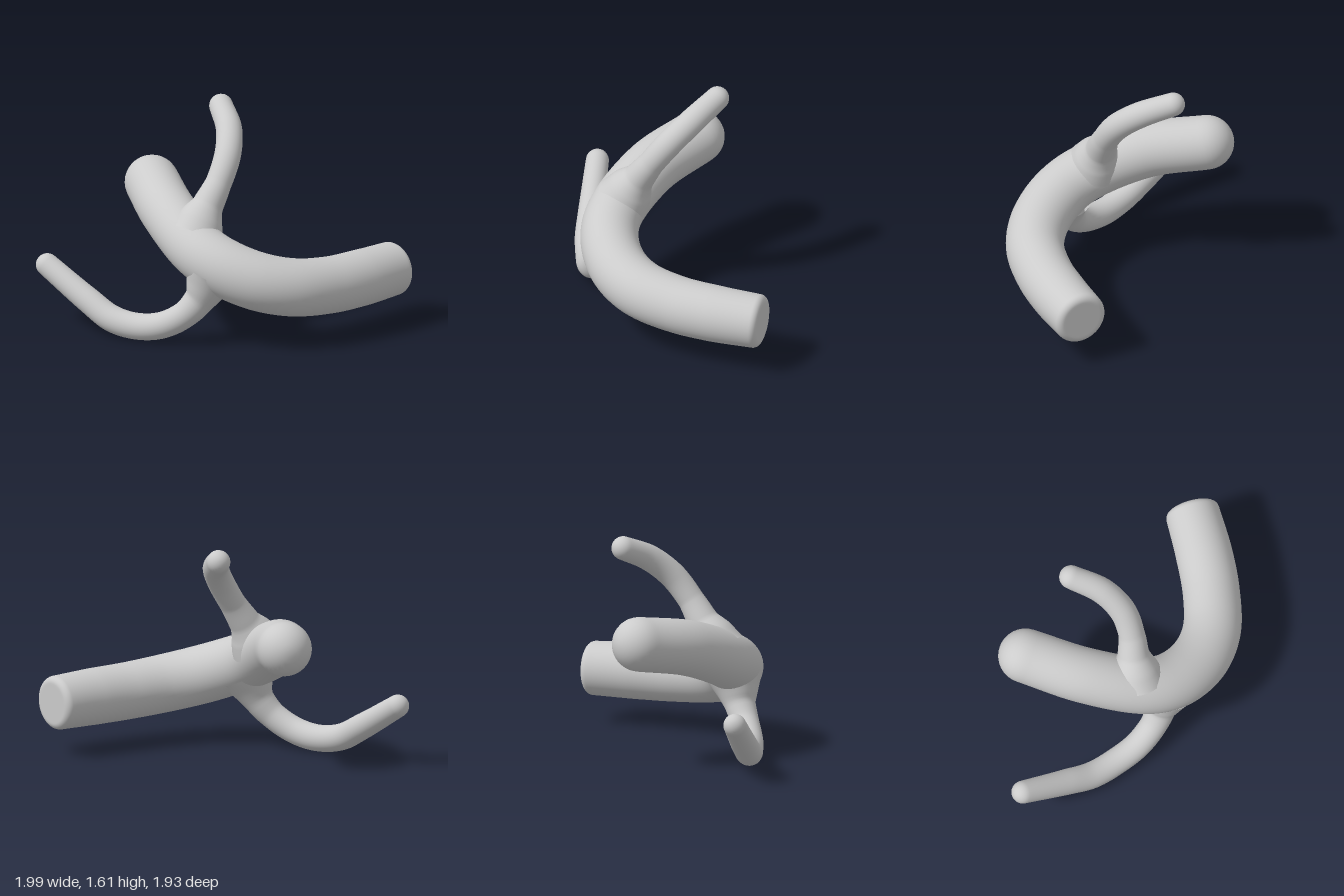
import * as THREE from 'three';
import { mergeVertices } from 'three/addons/utils/BufferGeometryUtils.js';

const material = new THREE.MeshStandardMaterial({ color: 0xcccccc, side: THREE.DoubleSide });

// Sweeps a round section along a spline; each stop is [x, y, z, radius].
// startCap / endCap: depth of the rounded end (0 = open, radius = full dome).
function limb(name, stops, { startCap = 0, endCap = 0, steps = 60, sides = 32 }) {
  const curve = new THREE.CatmullRomCurve3(stops.map(s => new THREE.Vector3(s[0], s[1], s[2])));
  const frames = curve.computeFrenetFrames(steps);
  const last = stops.length - 1;

  const radiusAt = u => {
    const t = curve.getUtoTmapping(u) * last;
    const i = Math.min(Math.floor(t), last - 1);
    return THREE.MathUtils.lerp(stops[i][3], stops[i + 1][3], t - i);
  };

  const rings = [];
  for (let i = 0; i <= steps; i++) {
    rings.push({ centre: curve.getPointAt(i / steps), radius: radiusAt(i / steps), frame: i });
  }

  // Rounded edge rings, then a closing centre
  const cap = (ring, depth, sign) => {
    const out = [];
    const add = (offset, radius) => out.push({
      centre: ring.centre.clone().addScaledVector(frames.tangents[ring.frame], sign * offset),
      radius, frame: ring.frame,
    });
    for (let k = 1; k <= 8; k++) {
      const a = k / 8 * Math.PI / 2;
      add(depth * Math.sin(a), ring.radius - depth + depth * Math.cos(a));
    }
    if (ring.radius - depth > 0.01) {
      add(depth, (ring.radius - depth) * 0.9);
      add(depth, 0);
    }
    return out;
  };
  const head = startCap ? cap(rings[0], startCap, -1).reverse() : [];
  const tail = endCap ? cap(rings[steps], endCap, 1) : [];
  const all = [...head, ...rings, ...tail];

  const positions = [], index = [];
  all.forEach(({ centre, radius, frame }, i) => {
    for (let j = 0; j < sides; j++) {
      const a = j / sides * Math.PI * 2;
      const p = centre.clone()
        .addScaledVector(frames.normals[frame], radius * Math.cos(a))
        .addScaledVector(frames.binormals[frame], radius * Math.sin(a));
      positions.push(p.x, p.y, p.z);
      if (i < all.length - 1) {
        const b = i * sides + j, c = i * sides + (j + 1) % sides;
        index.push(b, c, b + sides, c, c + sides, b + sides);
      }
    }
  });

  let geometry = new THREE.BufferGeometry();
  geometry.setAttribute('position', new THREE.Float32BufferAttribute(positions, 3));
  geometry.setIndex(index);
  geometry = mergeVertices(geometry, 1e-5);
  geometry.computeVertexNormals();
  const mesh = new THREE.Mesh(geometry, material);
  mesh.name = name;
  return mesh;
}

export function createModel() {
  const model = new THREE.Group();
  model.name = 'branchedStem';

  // Thick bent stem: domed at one end, cut flat at the other
  model.add(limb('mainStem', [
    [-0.69, 0.93, 0.04, 0.197],
    [-0.30, 0.845, 0.26, 0.202],
    [0.13, 0.685, 0.385, 0.205],
    [0.35, 0.595, 0.35, 0.21],
    [0.56, 0.505, 0.21, 0.212],
    [0.70, 0.445, 0.0, 0.21],
    [0.77, 0.41, -0.30, 0.206],
    [0.79, 0.40, -0.60, 0.205],
    [0.785, 0.395, -0.915, 0.196],
  ], { startCap: 0.197, endCap: 0.05, steps: 90, sides: 48 }));

  // Upper shoot, flared where it leaves the stem
  model.add(limb('upperShoot', [
    [0.06, 0.78, 0.34, 0.20],
    [0.06, 0.88, 0.285, 0.165],
    [0.065, 0.97, 0.225, 0.115],
    [0.075, 1.12, 0.125, 0.095],
    [0.04, 1.29, 0.0, 0.097],
    [-0.075, 1.43, -0.13, 0.095],
    [-0.28, 1.535, -0.253, 0.086],
  ], { endCap: 0.086 }));

  // Lower shoot, hooking down and back up
  model.add(limb('lowerShoot', [
    [0.27, 0.53, 0.39, 0.20],
    [0.245, 0.44, 0.42, 0.155],
    [0.21, 0.345, 0.455, 0.112],
    [0.14, 0.235, 0.525, 0.098],
    [0.0, 0.14, 0.615, 0.097],
    [-0.18, 0.105, 0.69, 0.097],
    [-0.37, 0.135, 0.76, 0.097],
    [-0.57, 0.24, 0.805, 0.094],
    [-0.915, 0.445, 0.878, 0.083],
  ], { endCap: 0.083 }));

  return model;
}
